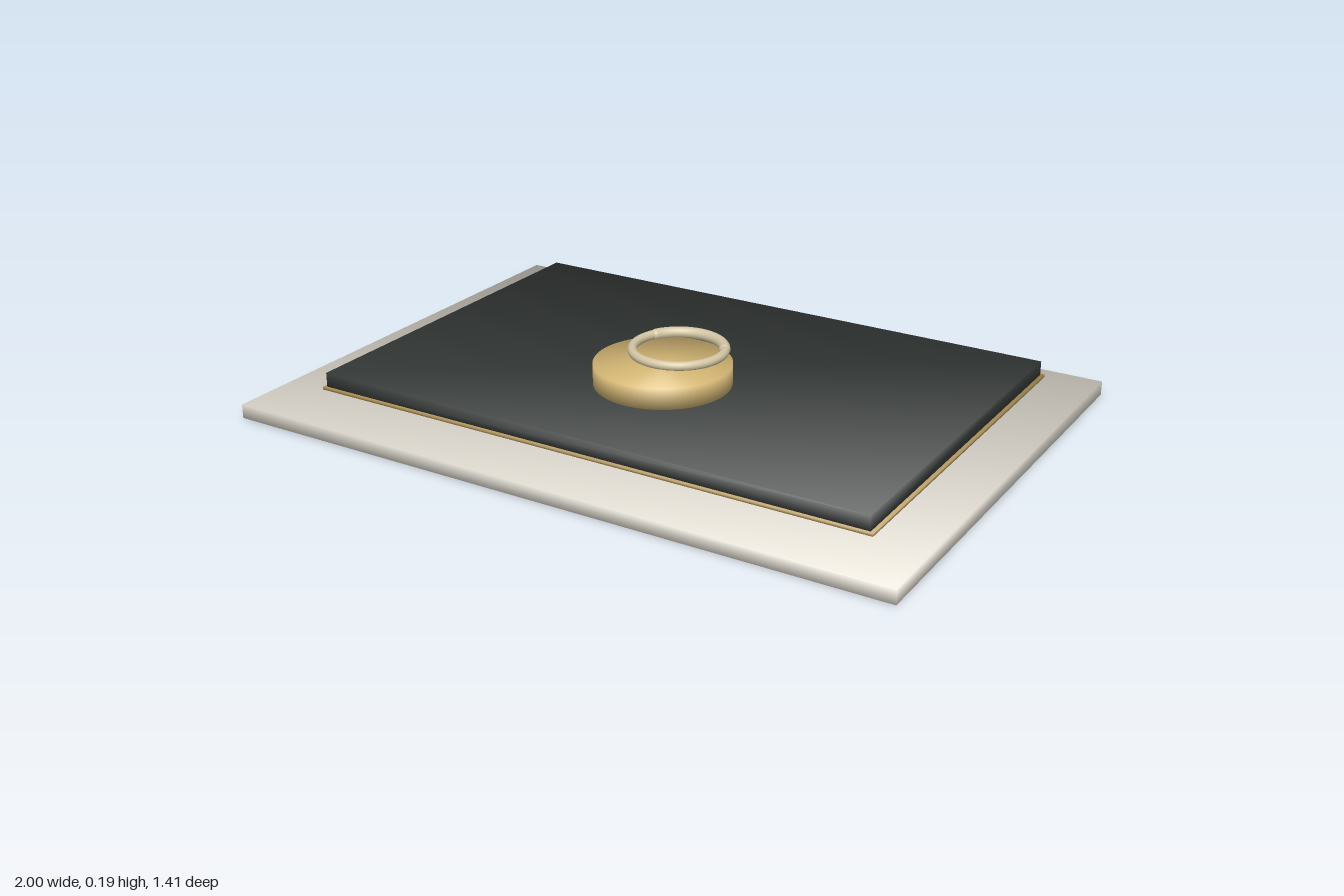
import * as THREE from 'three';

// Shares one averaged normal between all faces meeting at a corner
function softenNormals(geometry) {
  const pos = geometry.attributes.position;
  const nor = geometry.attributes.normal;
  const sums = new Map();
  const p = new THREE.Vector3();
  const keyOf = (i) => p.fromBufferAttribute(pos, i).toArray().map((v) => Math.round(v * 1e4)).join();
  for (let i = 0; i < pos.count; i++) {
    const key = keyOf(i);
    if (!sums.has(key)) sums.set(key, new THREE.Vector3());
    sums.get(key).add(new THREE.Vector3().fromBufferAttribute(nor, i));
  }
  for (let i = 0; i < pos.count; i++) {
    const n = sums.get(keyOf(i)).clone().normalize();
    nor.setXYZ(i, n.x, n.y, n.z);
  }
  return geometry;
}

export function createModel() {
  const model = new THREE.Group();
  const stone = new THREE.MeshStandardMaterial({ color: 0xe6e1d6 });
  const dark = new THREE.MeshStandardMaterial({ color: 0x3a3f3d });
  const gold = new THREE.MeshStandardMaterial({ color: 0xd6b876 });
  const trimGold = new THREE.MeshStandardMaterial({ color: 0xb89a58 });
  const paleGold = new THREE.MeshStandardMaterial({ color: 0xd2c5a2 });

  function add(name, geometry, material, x, y, z, parent = model) {
    const mesh = new THREE.Mesh(geometry, material);
    mesh.name = name;
    mesh.position.set(x, y, z);
    parent.add(mesh);
    return mesh;
  }

  // Slab given by its width, vertical range and depth range
  function slab(name, material, width, y0, y1, z0, z1) {
    const geometry = softenNormals(new THREE.BoxGeometry(width, y1 - y0, z1 - z0));
    add(name, geometry, material, 0, (y0 + y1) / 2, (z0 + z1) / 2);
  }

  // Stacked plates, with a narrow gap above the base
  slab('basePlate', stone, 2, 0, 0.041, -0.705, 0.705);
  slab('trimPlate', trimGold, 1.714, 0.055, 0.063, -0.618, 0.53);
  slab('darkPanel', dark, 1.694, 0.063, 0.105, -0.608, 0.522);

  // Round boss
  const boss = softenNormals(new THREE.CylinderGeometry(0.195, 0.195, 0.061, 64));
  add('boss', boss, gold, 0, 0.1355, 0.085);

  // Ring lying on the boss, with a thicker arc at the back
  const ring = new THREE.Group();
  ring.name = 'ringAssembly';
  ring.position.set(0, 0.176, 0);
  model.add(ring);
  const radius = 0.131;
  const band = new THREE.TorusGeometry(radius, 0.0135, 16, 64).rotateX(-Math.PI / 2);
  add('ring', band, paleGold, 0, 0, 0, ring);

  const start = 0.5;
  const thick = 0.0165;
  const arc = new THREE.TorusGeometry(radius - 0.002, thick, 16, 40, Math.PI - 2 * start)
    .rotateZ(start)
    .rotateX(-Math.PI / 2);
  add('ringBackArc', arc, paleGold, 0, 0, 0, ring);
  for (const side of [-1, 1]) {
    const x = side * (radius - 0.002) * Math.cos(start);
    const z = -(radius - 0.002) * Math.sin(start);
    add('ringArcEnd', new THREE.SphereGeometry(thick, 16, 12), paleGold, x, 0, z, ring);
  }

  return model;
}
